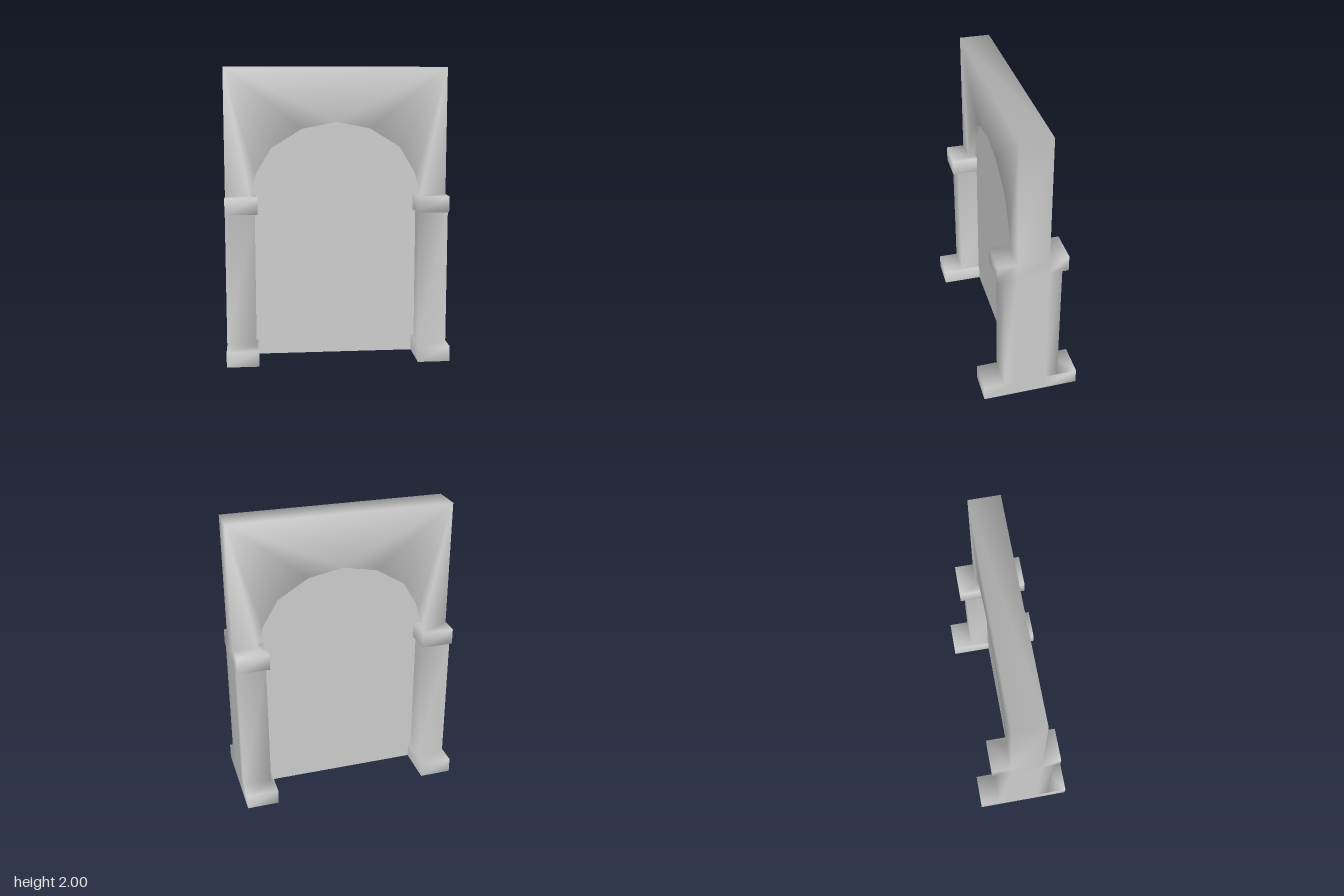
import * as THREE from 'three';
import { mergeVertices } from 'three/addons/utils/BufferGeometryUtils.js';

const OUT = 0.76, TOP = 2, SPRING = 1.13, HALF = 0.105;

// pillar levels from the floor up: height, half depth, inner x
const LEVELS = [
  [0, 0.33, 0.54], [0.105, 0.33, 0.54],
  [0.105, 0.19, 0.56], [1.02, 0.19, 0.56],
  [1.02, 0.232, 0.54], [SPRING, 0.232, 0.54],
  [SPRING, HALF, 0.59],
];

// half of the arch curve, springing to crown
const ARCH = [[0.59, SPRING], [0.55, 1.28], [0.445, 1.455], [0.235, 1.585], [0, 1.63]];

function frameGeometry() {
  const pos = [];
  // convex face as a fan; sx and sz mirror it and keep it facing outward
  const face = (pts, sx = 1, sz = 1) => {
    const p = pts.map(([x, y, z]) => [x * sx, y, z * sz]);
    if (sx * sz < 0) p.reverse();
    for (let i = 1; i < p.length - 1; i++) pos.push(...p[0], ...p[i], ...p[i + 1]);
  };

  const rings = LEVELS.map(([y, z, x]) => [
    [x, y, z], [OUT, y, z], [OUT, y, HALF], [OUT, y, -HALF], [OUT, y, -z], [x, y, -z],
  ]);

  for (const s of [1, -1]) {
    // base, shaft and collar of each pillar
    for (let k = 0; k < rings.length - 1; k++) {
      const lo = rings[k], hi = rings[k + 1];
      for (let i = 0; i < 6; i++) {
        const j = (i + 1) % 6;
        face([lo[i], lo[j], hi[j], hi[i]], s);
      }
    }
    // outer wall above the collar
    face([[OUT, SPRING, HALF], [OUT, SPRING, -HALF], [OUT, TOP, -HALF], [OUT, TOP, HALF]], s);
    // spandrels, front and back
    for (const t of [1, -1]) {
      face([[...ARCH[0], HALF], [OUT, SPRING, HALF], [OUT, TOP, HALF]], s, t);
      for (let i = 0; i < ARCH.length - 1; i++)
        face([[OUT, TOP, HALF], [...ARCH[i + 1], HALF], [...ARCH[i], HALF]], s, t);
    }
    // underside of the arch
    for (let i = 0; i < ARCH.length - 1; i++) {
      const a = ARCH[i], b = ARCH[i + 1];
      face([[...a, HALF], [...b, HALF], [...b, -HALF], [...a, -HALF]], s);
    }
  }
  // middle of the lintel and its top
  for (const t of [1, -1])
    face([[-OUT, TOP, HALF], [0, 1.63, HALF], [OUT, TOP, HALF]], 1, t);
  face([[-OUT, TOP, HALF], [OUT, TOP, HALF], [OUT, TOP, -HALF], [-OUT, TOP, -HALF]]);

  let geo = new THREE.BufferGeometry();
  geo.setAttribute('position', new THREE.Float32BufferAttribute(pos, 3));
  geo = mergeVertices(geo, 1e-4);
  geo.computeVertexNormals();
  return geo;
}

// flat infill following the arch outline
function panelGeometry() {
  const right = ARCH.map(([x, y]) => new THREE.Vector2(x, y));
  const left = ARCH.slice(0, -1).reverse().map(([x, y]) => new THREE.Vector2(-x, y));
  return new THREE.ShapeGeometry(new THREE.Shape([
    new THREE.Vector2(-0.56, 0), new THREE.Vector2(0.56, 0),
    new THREE.Vector2(0.56, SPRING), ...right, ...left, new THREE.Vector2(-0.56, SPRING),
  ]));
}

export function createModel() {
  const group = new THREE.Group();
  group.name = 'archedDoorway';
  const stone = new THREE.MeshStandardMaterial({ color: 0xcccccc, side: THREE.DoubleSide });
  stone.name = 'stone grey';

  const frame = new THREE.Mesh(frameGeometry(), stone);
  frame.name = 'archFrame';
  group.add(frame);

  const panel = panelGeometry();
  for (const [name, z, turn] of [['frontPanel', 0.05, 0], ['backPanel', -0.05, Math.PI]]) {
    const mesh = new THREE.Mesh(panel, stone);
    mesh.name = name;
    mesh.position.z = z;
    mesh.rotation.y = turn;
    group.add(mesh);
  }
  return group;
}
